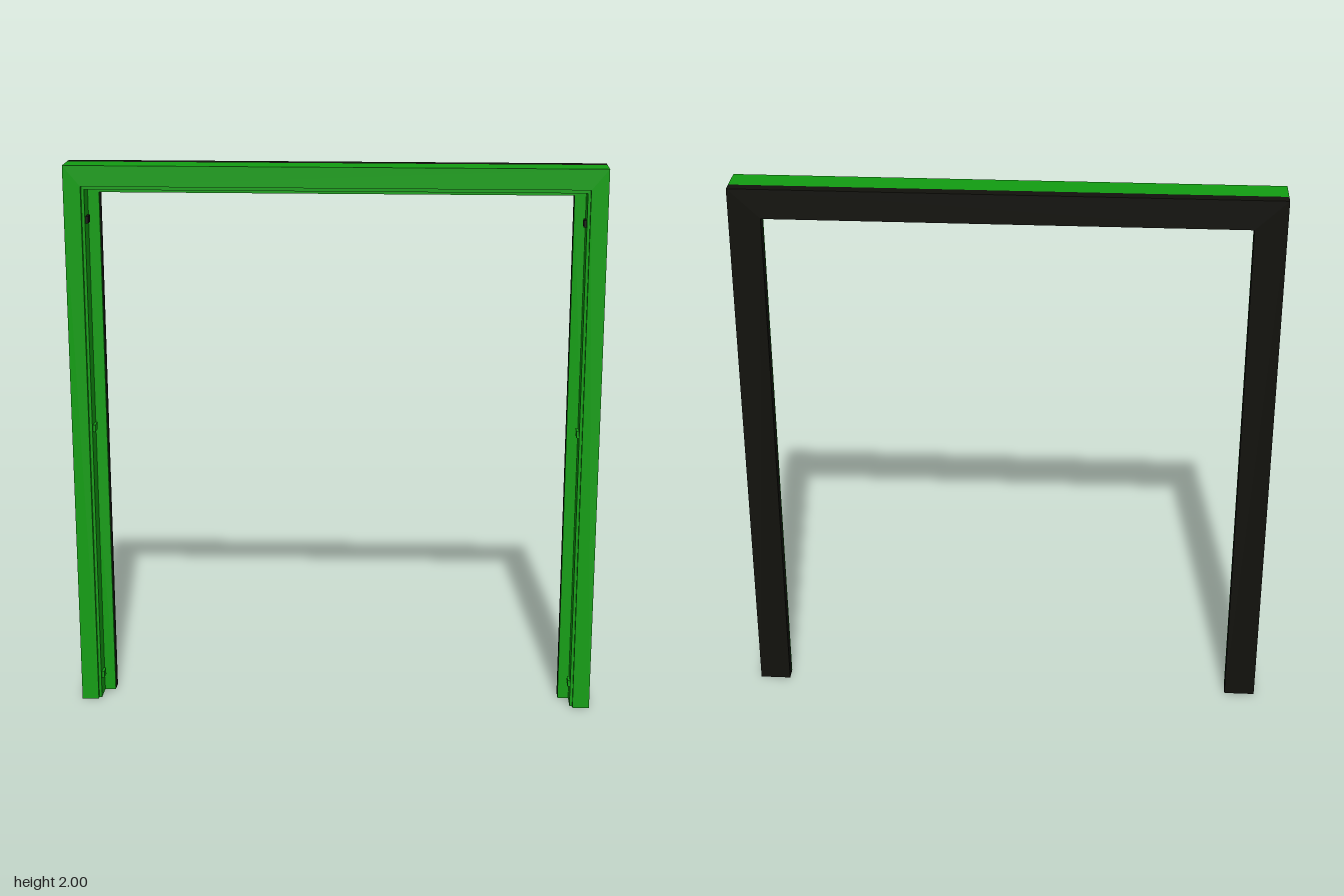
import * as THREE from 'three';

const green = new THREE.MeshStandardMaterial({ color: 0x129e12 });
const black = new THREE.MeshStandardMaterial({ color: 0x11110c });
const HALF = 0.945, TOP = 2;

// Portal-shaped layer (two legs and a head), extruded from z0 to z1
function portal(name, innerX, innerTop, z0, z1, material) {
  const outline = [
    [-HALF, 0], [-innerX, 0], [-innerX, innerTop], [innerX, innerTop],
    [innerX, 0], [HALF, 0], [HALF, TOP], [-HALF, TOP],
  ].map(([x, y]) => new THREE.Vector2(x, y));
  const geometry = new THREE.ExtrudeGeometry(new THREE.Shape(outline), {
    depth: z1 - z0, bevelEnabled: false,
  });
  geometry.translate(0, 0, z0);
  const mesh = new THREE.Mesh(geometry, material);
  mesh.name = name;
  return mesh;
}

export function createModel() {
  const group = new THREE.Group();
  group.name = 'doorFrame';

  // Stepped frame profile, from the face back to the stop
  group.add(
    portal('frontCasing', 0.884, 1.927, 0.055, 0.07, green),
    portal('rebate', 0.874, 1.914, -0.02, 0.055, green),
    portal('stopFace', 0.834, 1.894, -0.03, -0.02, green),
    portal('backCasing', 0.834, 1.894, -0.07, -0.03, black),
  );

  // Small hinge and latch plates inside both legs
  for (const side of [-1, 1]) {
    for (const [y, material] of [[0.085, green], [1.045, green], [1.805, black]]) {
      const plate = new THREE.Mesh(new THREE.BoxGeometry(0.01, 0.025, 0.04), material);
      plate.name = side > 0 ? 'leftPlate' : 'rightPlate';
      plate.position.set(side * 0.87, y, 0.02);
      group.add(plate);
    }
  }
  return group;
}
